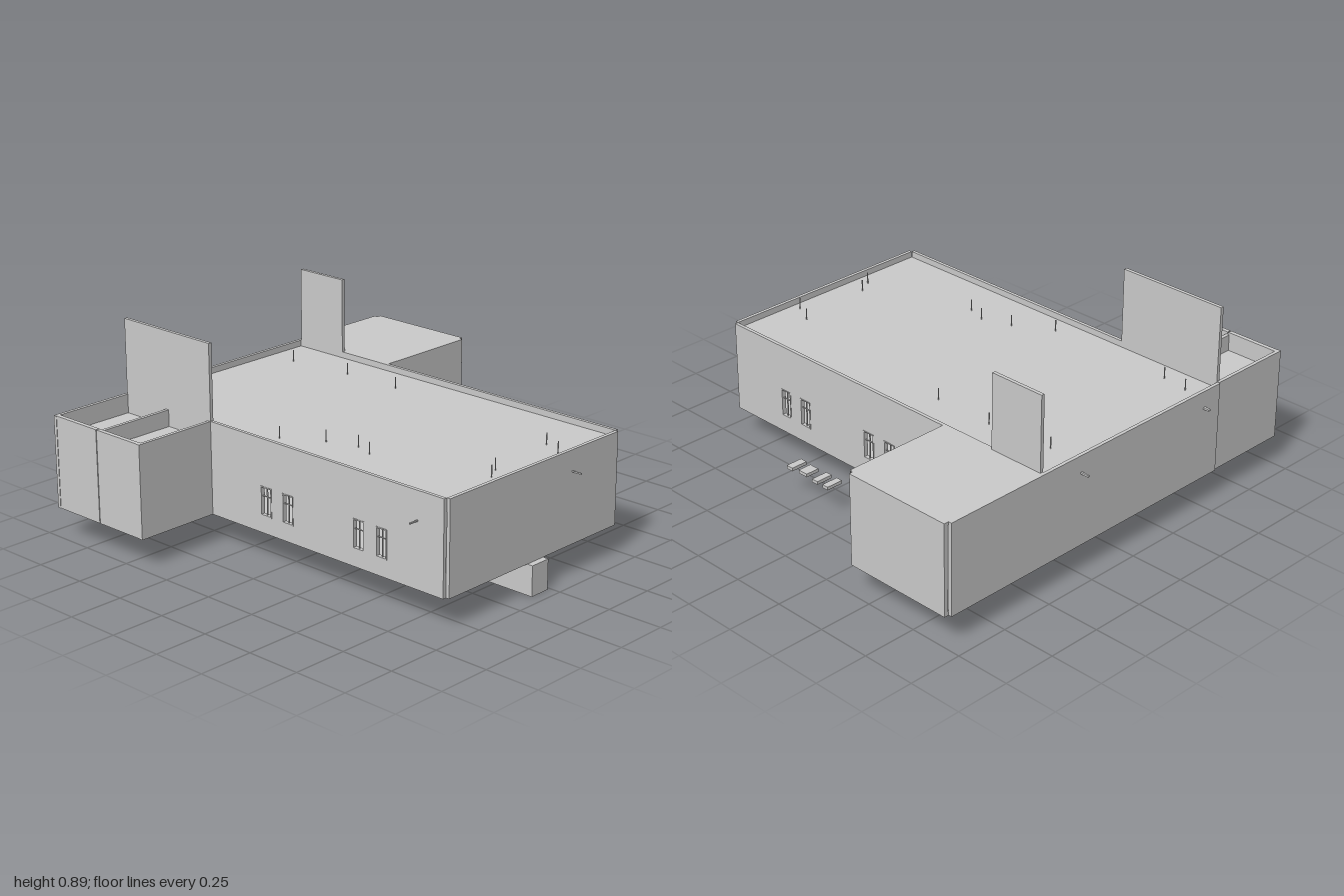
import * as THREE from 'three';

const BASE = 0.135, TOP = 0.55, T = 0.016;
const mat = new THREE.MeshStandardMaterial({ color: 0xcccccc, flatShading: true });

// Box given by its min and max on each axis
function box(parent, name, x0, x1, y0, y1, z0, z1) {
  const m = new THREE.Mesh(new THREE.BoxGeometry(x1 - x0, y1 - y0, z1 - z0), mat);
  m.position.set((x0 + x1) / 2, (y0 + y1) / 2, (z0 + z1) / 2);
  m.name = name;
  parent.add(m);
  return m;
}

// Rectangle path, used for wall outlines and window openings
function rect(path, a0, a1, b0, b1) {
  path.moveTo(a0, b0);
  path.lineTo(a1, b0);
  path.lineTo(a1, b1);
  path.lineTo(a0, b1);
  path.closePath();
  return path;
}

const WINDOWS = [[0.55, 0.61], [0.425, 0.487], [0.028, 0.09], [-0.098, -0.035]];
const SILL = 0.212, HEAD = 0.342;

// Long side wall with four window openings, frames and glazing bars
function sideWall(name, xMin) {
  const g = new THREE.Group();
  g.name = name;
  const shape = rect(new THREE.Shape(), -0.92, 0.905, BASE, TOP);
  for (const [a, b] of WINDOWS) shape.holes.push(rect(new THREE.Path(), a, b, SILL, HEAD));
  const geo = new THREE.ExtrudeGeometry(shape, { depth: T, bevelEnabled: false });
  geo.rotateY(-Math.PI / 2);
  const wall = new THREE.Mesh(geo, mat);
  wall.name = 'windowedWall';
  wall.position.x = xMin + T;
  g.add(wall);
  const x0 = xMin - 0.002, x1 = xMin + T + 0.002, f = 0.005;
  for (const [a, b] of WINDOWS) {
    const mid = (a + b) / 2;
    box(g, 'windowFrame', x0, x1, SILL, HEAD, a, a + f);
    box(g, 'windowFrame', x0, x1, SILL, HEAD, b - f, b);
    box(g, 'windowFrame', x0, x1, SILL, SILL + f, a, b);
    box(g, 'windowFrame', x0, x1, HEAD - f, HEAD, a, b);
    box(g, 'glazingBar', xMin + 0.005, xMin + 0.011, SILL, HEAD, mid - 0.0015, mid + 0.0015);
    box(g, 'glazingBar', xMin + 0.005, xMin + 0.011, 0.296, 0.299, a, b);
  }
  return g;
}

export function createModel() {
  const model = new THREE.Group();
  model.name = 'building';

  // Main hall
  const hall = new THREE.Group();
  hall.name = 'hall';
  model.add(hall);
  hall.add(sideWall('rightSideWall', -0.605), sideWall('leftSideWall', 0.459));
  box(hall, 'frontWall', -0.588, 0.457, BASE, TOP, 0.905, 0.921);
  box(hall, 'backWall', -0.588, 0.975, BASE, TOP, -0.936, -0.92);
  box(hall, 'floor', -0.59, 0.46, BASE, 0.15, -0.92, 0.905);
  box(hall, 'roof', -0.59, 0.46, 0.508, 0.522, -0.92, 0.905);

  // Raised wall panels standing above the roof
  box(model, 'tallPanel', -0.605, -0.589, TOP, 0.89, -0.917, -0.392);
  box(model, 'tallPanel', 0.459, 0.475, TOP, 0.89, -0.917, -0.655);

  // Roofed wing
  const wing = new THREE.Group();
  wing.name = 'roofedWing';
  model.add(wing);
  box(wing, 'endWall', 0.979, 0.997, BASE, TOP, -0.92, -0.4);
  box(wing, 'frontWall', 0.475, 0.975, BASE, TOP, -0.397, -0.381);
  box(wing, 'floor', 0.475, 0.98, BASE, 0.15, -0.92, -0.39);
  box(wing, 'roof', 0.475, 0.98, 0.535, TOP, -0.92, -0.39);

  // Open-topped wing with two bays
  const open = new THREE.Group();
  open.name = 'openWing';
  model.add(open);
  box(open, 'endWall', -0.998, -0.978, BASE, TOP, -0.918, -0.662);
  box(open, 'endWall', -0.998, -0.978, BASE, TOP, -0.658, -0.408);
  box(open, 'backWall', -1, -0.592, BASE, TOP, -0.93, -0.914);
  box(open, 'frontWall', -1, -0.605, BASE, TOP, -0.408, -0.392);
  box(open, 'divider', -0.98, -0.605, BASE, TOP - 0.01, -0.668, -0.652);
  box(open, 'floor', -0.98, -0.605, BASE, 0.15, -0.92, -0.4);
  box(open, 'lowRoof', -0.98, -0.605, 0.45, 0.465, -0.92, -0.4);

  // Supports below the floor
  box(model, 'frontSupport', -0.115, -0.015, 0, BASE, 0.65, 0.948);
  box(model, 'underfloorBeam', -0.32, 0.197, 0.116, BASE, -0.497, -0.395);
  box(model, 'underfloorPlate', -0.32, -0.12, 0.131, BASE, -0.395, -0.155);

  // Thin roof pins
  const pins = [[-0.25, 0.84], [-0.18, 0.8], [0.14, 0.86], [0.19, 0.76], [-0.385, 0.31], [-0.355, 0.22],
    [-0.4, 0.08], [-0.5, -0.09], [0.3, -0.18], [0.3, -0.47], [0.27, -0.78], [-0.5, -0.71], [-0.48, -0.84]];
  for (const [x, z] of pins) {
    const pin = new THREE.Mesh(new THREE.CylinderGeometry(0.0025, 0.0025, 0.055, 6), mat);
    pin.name = 'roofPin';
    pin.position.set(x, 0.5475, z);
    model.add(pin);
  }

  // Small wall brackets
  box(model, 'wallBracket', -0.65, -0.605, 0.422, 0.428, 0.767, 0.773);
  box(model, 'wallBracket', 0.157, 0.163, 0.453, 0.459, 0.92, 0.968);
  box(model, 'wallBracket', 0.255, 0.263, 0.467, 0.475, -0.975, -0.935);
  box(model, 'wallBracket', -0.497, -0.485, 0.467, 0.475, -0.965, -0.935);

  // Low paving blocks beside the hall
  for (const [x0, x1, z0, z1] of [[0.6, 0.68, 0.093, 0.125], [0.6, 0.68, 0.157, 0.19],
    [0.605, 0.67, 0.235, 0.285], [0.6, 0.68, 0.315, 0.35]]) {
    box(model, 'pavingBlock', x0, x1, BASE, 0.15, z0, z1);
  }
  return model;
}
